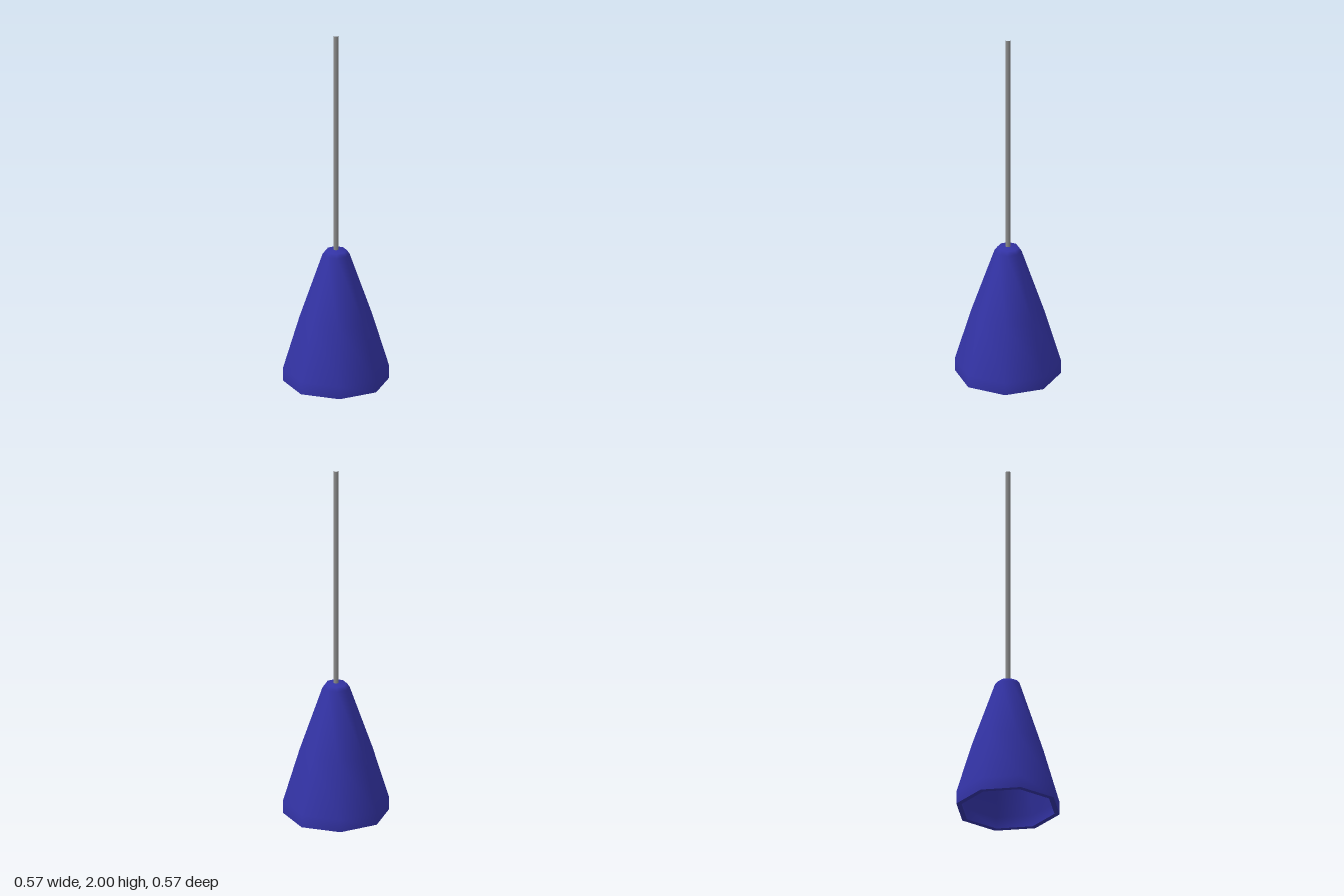
import * as THREE from 'three';

const SIDES = 8;

export function createModel() {
  const group = new THREE.Group();
  group.name = 'pendantLamp';

  const blue = new THREE.MeshStandardMaterial({ color: 0x3333a5 });
  blue.name = 'blue enamel';
  const grey = new THREE.MeshStandardMaterial({ color: 0x8c8c8c });
  grey.name = 'grey cord';

  const add = (name, geometry, material) => {
    const mesh = new THREE.Mesh(geometry, material);
    mesh.name = name;
    group.add(mesh);
    return mesh;
  };
  const lathe = (points) =>
    new THREE.LatheGeometry(points.map(([r, y]) => new THREE.Vector2(r, y)), SIDES);

  // Outer wall, from the straight lower band up to the rounded crown
  add('shadeOuter', lathe([
    [0.287, 0], [0.287, 0.07], [0.197, 0.37], [0.073, 0.73], [0.058, 0.75], [0, 0.757],
  ]), blue);

  // Flat rim joining the outer and inner walls
  add('shadeRim', lathe([[0.258, 0], [0.287, 0]]), blue);

  // Inner wall, facing the axis
  add('shadeInner', lathe([
    [0, 0.73], [0.045, 0.715], [0.17, 0.36], [0.258, 0.065], [0.258, 0],
  ]), blue);

  // Thin cord, open at both ends
  const cord = add('cord', new THREE.CylinderGeometry(0.014, 0.014, 1.25, SIDES, 1, true), grey);
  cord.position.y = 1.375;

  return group;
}
